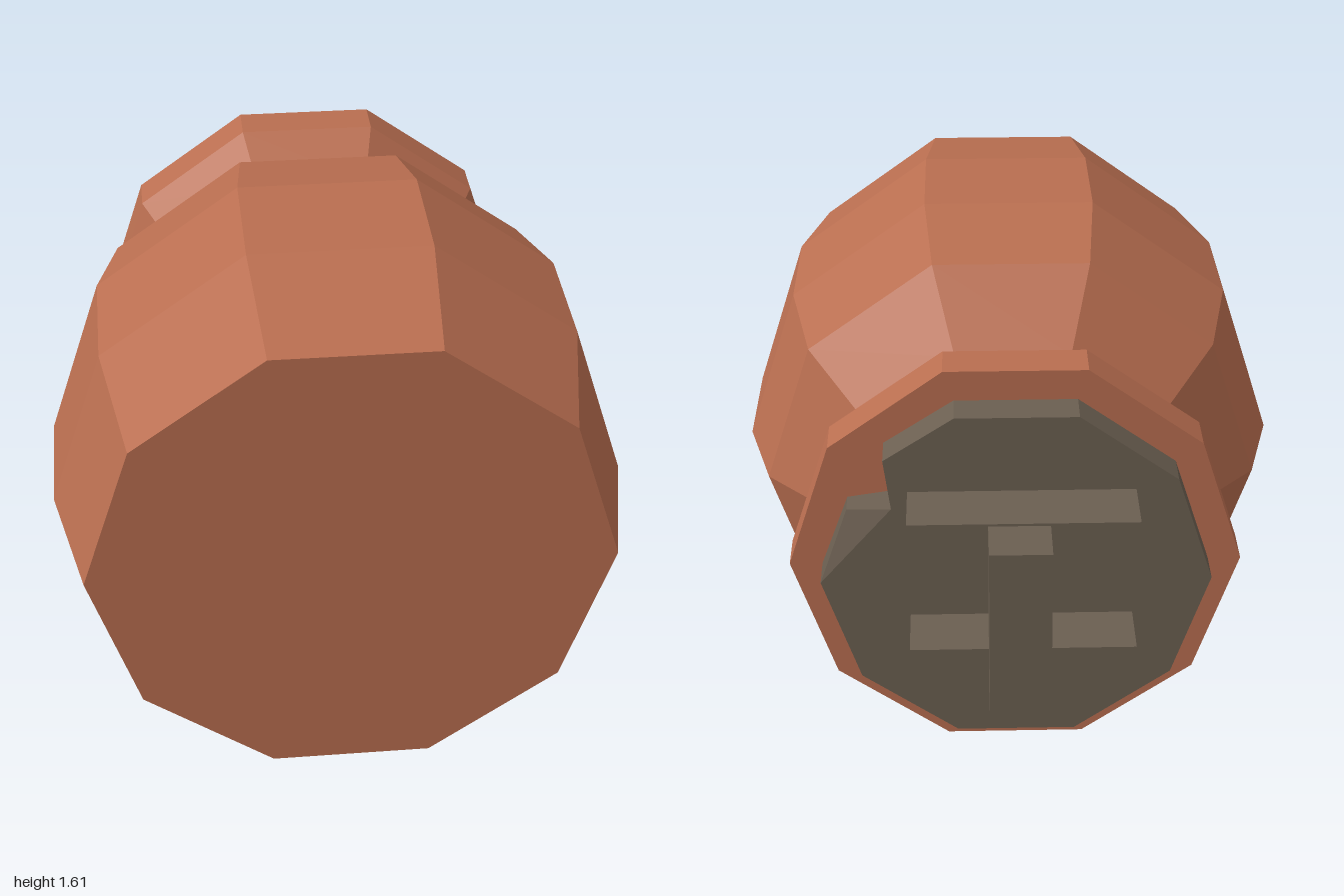
import * as THREE from 'three';

export function createModel() {
  const model = new THREE.Group();
  const clay = new THREE.MeshStandardMaterial({ color: 0xb96e50, flatShading: true });
  clay.name = 'terracotta clay';
  const wood = new THREE.MeshStandardMaterial({ color: 0x6b5f51, flatShading: true });
  wood.name = 'grey brown lid';
  const SIDES = 10, AXIS_Y = 0.81;

  const add = (name, geometry, material, x, y, z) => {
    const mesh = new THREE.Mesh(geometry, material);
    mesh.name = name;
    mesh.position.set(x, y, z);
    model.add(mesh);
    return mesh;
  };

  // Ten-sided jar lying along z: neck at the back, base at the front
  const profile = [
    [0, -0.57], [0.67, -0.57], [0.67, -0.445], [0.56, -0.28], [0.77, -0.065],
    [0.847, 0.225], [0.843, 0.6], [0.755, 1], [0, 1],
  ].map(([r, z]) => new THREE.Vector2(r, z));
  const jar = new THREE.LatheGeometry(profile, SIDES, Math.PI / 2);
  jar.rotateX(Math.PI / 2);
  add('jar', jar, clay, 0, AXIS_Y, 0);

  // Lid: a ten-sided disc with a chip broken out of its upper left rim
  const chip = [[0.49, 0.23], [0.36, 0.25], [0.38, 0.41]];
  const outline = [];
  for (let i = 0; i < SIDES; i++) {
    const a = (i / SIDES) * Math.PI * 2;
    if (i === 1) outline.push(...chip.map(([x, y]) => new THREE.Vector2(x, y)));
    else outline.push(new THREE.Vector2(0.573 * Math.cos(a), 0.573 * Math.sin(a)));
  }
  const lid = new THREE.ExtrudeGeometry(new THREE.Shape(outline), { depth: 0.105, bevelEnabled: false });
  // Wear down the outer corner of the chip
  const p = lid.attributes.position;
  for (let i = 0; i < p.count; i++) {
    const atCorner = Math.hypot(p.getX(i) - chip[0][0], p.getY(i) - chip[0][1]) < 0.01;
    if (atCorner && p.getZ(i) < 0.01) p.setZ(i, 0.035);
  }
  lid.computeVertexNormals();
  add('lid', lid, wood, 0, AXIS_Y, -0.675);

  // Handle: two cross bars joined by an upright grip
  for (const [name, y] of [['upperHandleBar', 1.04], ['lowerHandleBar', 0.615]]) {
    add(name, new THREE.BoxGeometry(0.655, 0.155, 0.18), wood, -0.015, y, -0.763);
  }
  add('handleGrip', new THREE.BoxGeometry(0.175, 0.57, 0.17), wood, -0.003, 0.825, -0.915);

  return model;
}
